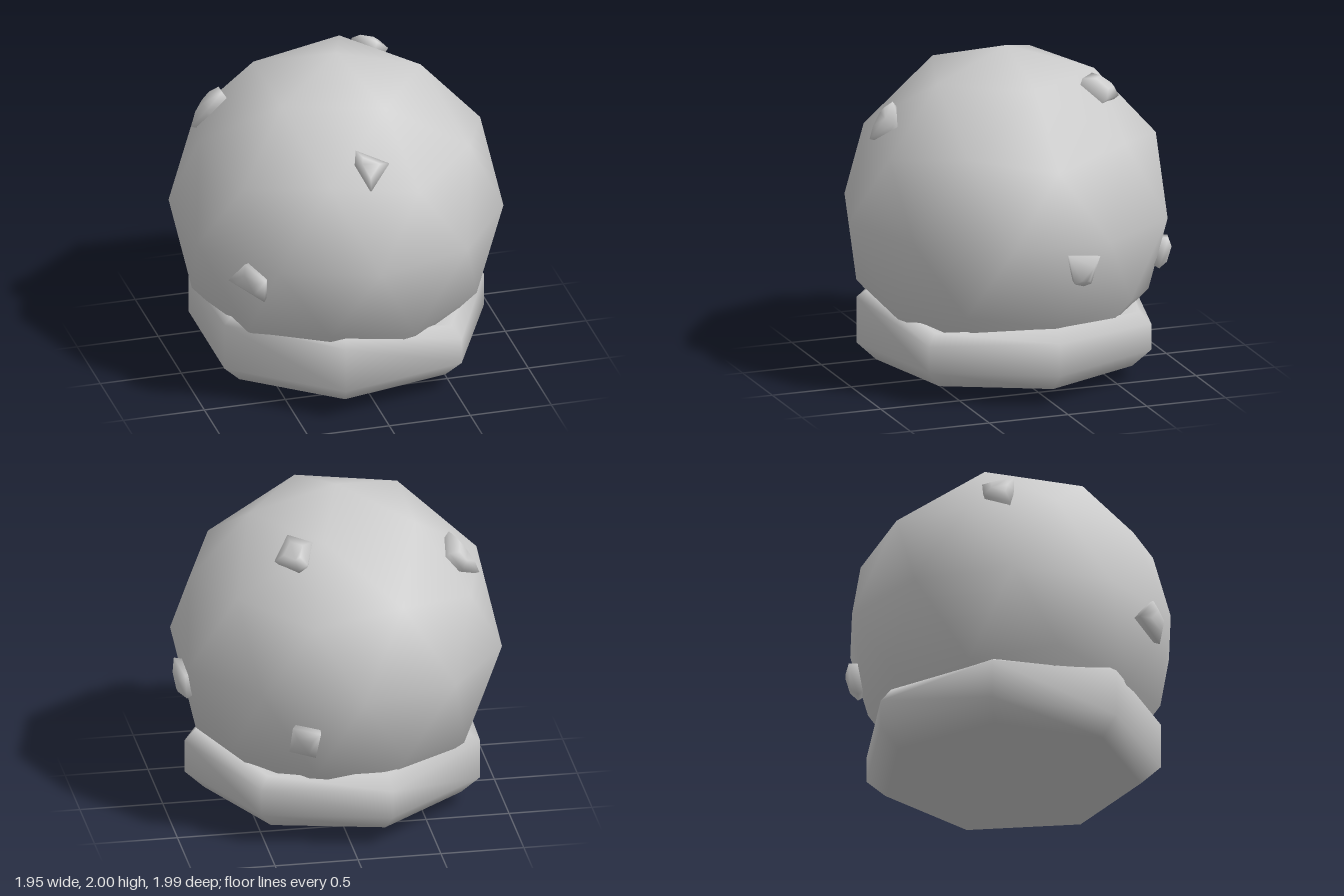
import * as THREE from 'three';
import { mergeVertices } from 'three/addons/utils/BufferGeometryUtils.js';
import { ConvexGeometry } from 'three/addons/geometries/ConvexGeometry.js';

const CENTRE = new THREE.Vector3(-0.045, 1.005, 0);

// Smooth-shaded seven-sided dish: rings of [x, y, z] closed by a point at each end
function dishGeometry() {
  const n = 7;
  const wallTop = [0.4, 0.36, 0.48, 0.49, 0.44, 0.37, 0.36];
  const lipTop = [0.475, 0.43, 0.53, 0.54, 0.48, 0.46, 0.43];
  const rings = [
    [0.784, () => 0.09],
    [0.902, () => 0.2],
    [0.902, (i) => wallTop[i]],
    [0.83, (i) => lipTop[i]],
    [0.68, (i) => lipTop[i] - 0.04],
  ];
  const pos = [0, 0, 0];
  for (const [r, y] of rings) {
    for (let i = 0; i < n; i++) {
      const a = (i / n) * Math.PI * 2;
      pos.push(r * Math.cos(a), y(i), r * Math.sin(a));
    }
  }
  pos.push(0, 0.4, 0);
  const last = pos.length / 3 - 1;
  const idx = [];
  for (let i = 0; i < n; i++) {
    const j = (i + 1) % n;
    idx.push(0, 1 + i, 1 + j);
    for (let k = 0; k < rings.length - 1; k++) {
      const a = 1 + k * n, b = a + n;
      idx.push(a + i, b + i, b + j, a + i, b + j, a + j);
    }
    const t = 1 + (rings.length - 1) * n;
    idx.push(t + i, last, t + j);
  }
  const g = new THREE.BufferGeometry();
  g.setAttribute('position', new THREE.Float32BufferAttribute(pos, 3));
  g.setIndex(idx);
  g.computeVertexNormals();
  return g;
}

// Chipped lump: an outline laid on the ball's tangent plane, tapered in and out.
// u and v name the axes of the outline, w the axis solved from the plane.
function lumpGeometry(at, [u, v, w], outline) {
  const normal = new THREE.Vector3(...at).sub(CENTRE).normalize();
  const ring = outline.map(([a, b]) => {
    const p = new THREE.Vector3();
    p[u] = a - CENTRE[u];
    p[v] = b - CENTRE[v];
    p[w] = (0.975 - normal[u] * p[u] - normal[v] * p[v]) / normal[w];
    return p;
  });
  const mid = ring.reduce((s, p) => s.add(p), new THREE.Vector3()).divideScalar(ring.length);
  const layer = (scale, lift) => ring.map((p) =>
    p.clone().sub(mid).multiplyScalar(scale).add(mid).addScaledVector(normal, lift).add(CENTRE));
  const hull = new ConvexGeometry([...layer(0.75, -0.1), ...layer(1, 0), ...layer(0.5, 0.035)]);
  hull.deleteAttribute('normal');
  const g = mergeVertices(hull, 1e-4);
  g.computeVertexNormals();
  return g;
}

export function createModel() {
  const model = new THREE.Group();
  const grey = new THREE.MeshStandardMaterial({ color: 0xcccccc });
  grey.name = 'grey';
  const add = (name, geometry) => {
    const mesh = new THREE.Mesh(geometry, grey);
    mesh.name = name;
    model.add(mesh);
    return mesh;
  };

  // Ball with one corner turned to the very top
  const ball = new THREE.IcosahedronGeometry(0.995, 1);
  ball.rotateZ(-Math.atan(2 / (1 + Math.sqrt(5))));
  add('ball', ball).position.copy(CENTRE);

  // Dish the ball rests in
  add('baseDish', dishGeometry()).position.x = -0.032;

  // Lumps scattered over the ball
  const lumps = [
    ['frontLump', [-0.04, 1.61, 0.73], 'xyz',
      [[-0.14, 1.64], [-0.12, 1.7], [0.07, 1.62], [-0.07, 1.5]]],
    ['frontRightLump', [-0.77, 0.89, 0.62], 'xyz',
      [[-0.86, 0.86], [-0.79, 1.01], [-0.69, 0.93], [-0.69, 0.78]]],
    ['leftLump', [0.93, 0.86, -0.13], 'zyx',
      [[-0.03, 0.96], [-0.24, 0.93], [-0.19, 0.76], [-0.14, 0.75], [-0.08, 0.77]]],
    ['backLump', [0.3, 0.72, -0.87], 'xyz',
      [[0.21, 0.8], [0.37, 0.83], [0.38, 0.65], [0.23, 0.62]]],
    ['topLump', [0.29, 1.8, -0.47], 'xzy',
      [[0.18, -0.46], [0.23, -0.58], [0.29, -0.59], [0.41, -0.47], [0.31, -0.35]]],
    ['rightLump', [-0.76, 1.6, -0.3], 'xzy',
      [[-0.86, -0.28], [-0.74, -0.41], [-0.66, -0.39], [-0.69, -0.2], [-0.78, -0.23]]],
  ];
  for (const [name, at, axes, outline] of lumps) add(name, lumpGeometry(at, axes, outline));

  return model;
}
